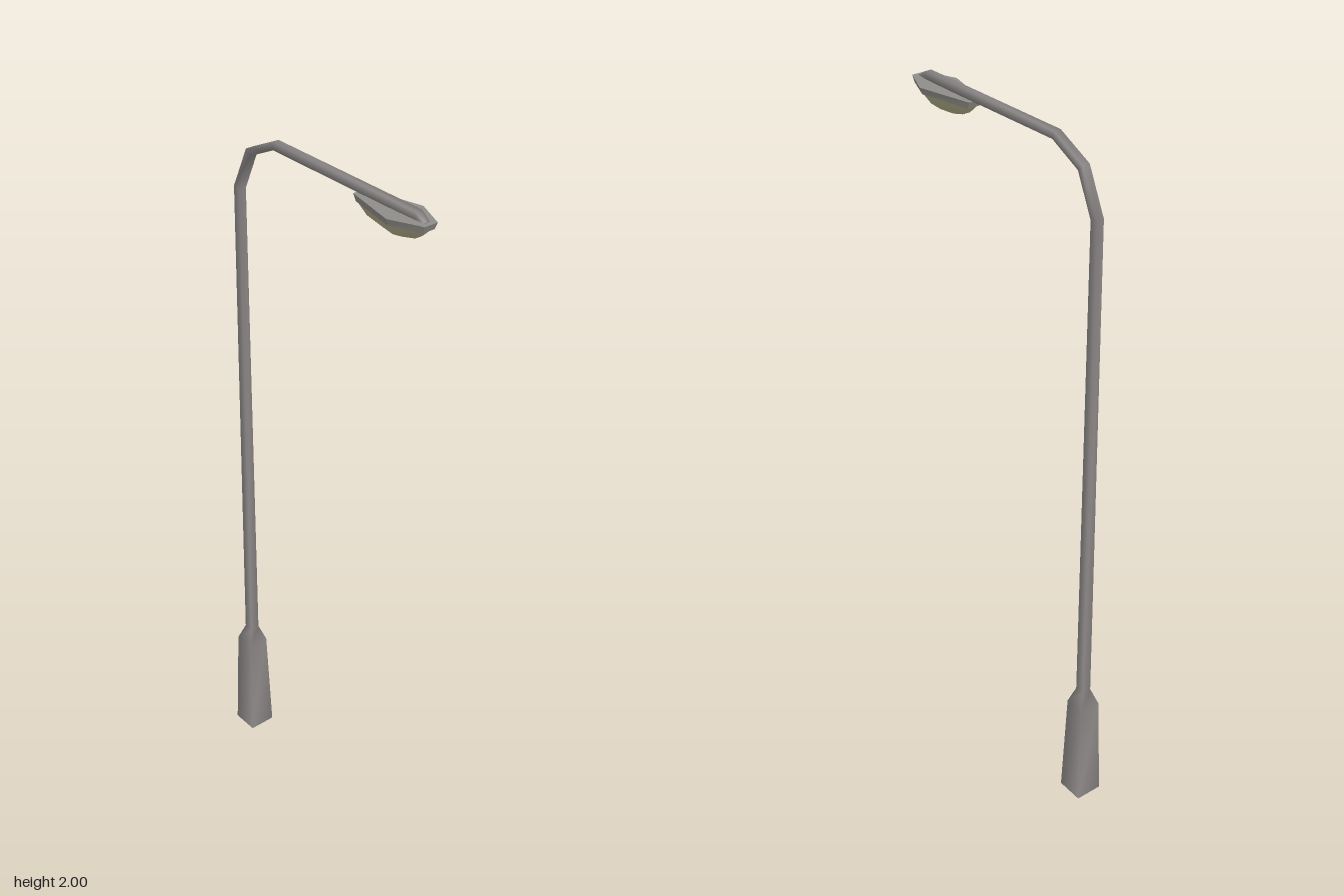
import * as THREE from 'three';

// Skin over rings of equal length, each counter-clockwise about the travel direction, with flat end caps
function loft(rings, smooth) {
  const n = rings[0].length, last = rings.length - 1, pos = rings.flat(2), idx = [];
  for (let i = 0; i < last; i++) {
    for (let j = 0; j < n; j++) {
      const a = i * n + j, b = i * n + (j + 1) % n;
      idx.push(a, b, b + n, a, b + n, a + n);
    }
  }
  // caps use their own vertices so their edges stay sharp
  const s = pos.length / 3;
  pos.push(...rings[0].flat(), ...rings[last].flat());
  for (let j = 1; j < n - 1; j++) {
    idx.push(s, s + j + 1, s + j, s + n, s + n + j, s + n + j + 1);
  }
  let g = new THREE.BufferGeometry();
  g.setAttribute('position', new THREE.Float32BufferAttribute(pos, 3));
  g.setIndex(idx);
  if (!smooth) g = g.toNonIndexed();
  g.computeVertexNormals();
  return g;
}

// Square section at (x, y, z), tilted from upright by angle towards +z
function square(x, y, z, half, angle) {
  const ny = -Math.sin(angle) * half, nz = Math.cos(angle) * half;
  return [[1, -1], [1, 1], [-1, 1], [-1, -1]].map(([n, s]) => [x + s * half, y + n * ny, z + n * nz]);
}

// Lamp head outline (x, z), scaled about its middle
const outline = [[-0.02, 0.378], [0.02, 0.378], [0.057, 0.29], [0.02, 0.132], [-0.02, 0.132], [-0.057, 0.29]];
const headRing = (y, sx, sz) => outline.map(([x, z]) => [x * sx, y, 0.255 + (z - 0.255) * sz]);

export function createModel() {
  const group = new THREE.Group();
  const metal = new THREE.MeshStandardMaterial({ color: 0x8f8a8a });
  metal.name = 'grey metal';
  const housing = new THREE.MeshStandardMaterial({ color: 0x8f8d89 });
  housing.name = 'housing grey';
  const glass = new THREE.MeshStandardMaterial({ color: 0xb5b18c });
  glass.name = 'pale lens';

  const add = (name, geometry, material) => {
    const mesh = new THREE.Mesh(geometry, material);
    mesh.name = name;
    group.add(mesh);
  };

  // Base, pole, bend and arm in one swept square tube
  const quarter = Math.PI / 2;
  add('poleAndArm', loft([
    square(-0.0075, 0, -0.34, 0.04, 0),
    square(-0.0075, 0.33, -0.34, 0.031, 0),
    square(-0.0075, 0.38, -0.339, 0.014, 0),
    square(0, 1.83, -0.338, 0.011, 0.24),
    square(0, 1.942, -0.285, 0.011, 0.8),
    square(0, 1.989, -0.184, 0.0105, 1.36),
    square(0, 1.982, 0.334, 0.0105, quarter + 0.1),
    square(0, 1.967, 0.362, 0.008, quarter + 0.3),
  ], true), metal);

  // Lamp head: faceted rim above, rounded lens below
  add('lampHousing', loft([headRing(1.955, 0.9, 0.94), headRing(1.973, 1, 1)], false), housing);
  add('lampLens', loft([
    headRing(1.914, 0.22, 0.28),
    headRing(1.929, 0.55, 0.68),
    headRing(1.956, 0.86, 0.91),
  ], true), glass);

  return group;
}
